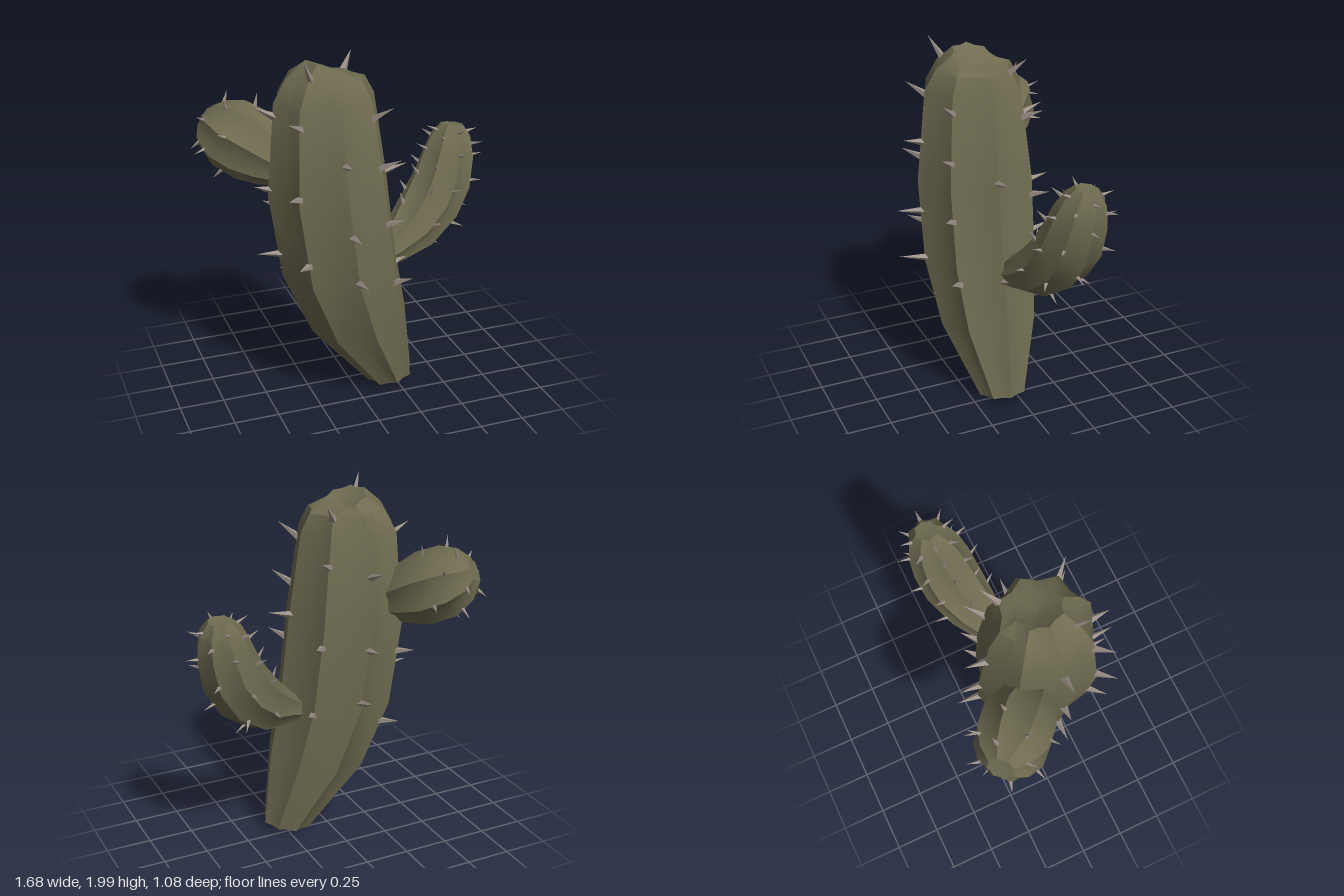
import * as THREE from 'three';
import { toCreasedNormals } from 'three/addons/utils/BufferGeometryUtils.js';

const RIBS = 8, SIDES = RIBS * 2, VALLEY = 0.85;

// Rings are [x, y, z, radius]; each becomes a centre plus a local frame
function makeFrames(rings, ref, stiffAxis) {
  const centres = rings.map(r => new THREE.Vector3(r[0], r[1], r[2]));
  return rings.map((r, i) => {
    const a = centres[Math.max(i - 1, 0)], b = centres[Math.min(i + 1, rings.length - 1)];
    const t = b.clone().sub(a);
    if (i === rings.length - 1) t.copy(a).sub(centres[i - 2]);
    t.normalize();
    if (stiffAxis) t.lerp(stiffAxis, 0.6).normalize();
    const u = ref.clone().addScaledVector(t, -ref.dot(t)).normalize();
    return { c: centres[i], r: r[3], t, u, v: u.clone().cross(t) };
  });
}

// Ribbed body: star-shaped sections joined in loops, closed at both ends
function ribbedBody(frames) {
  const pos = [], index = [];
  for (const f of frames) {
    for (let j = 0; j < SIDES; j++) {
      const a = j / SIDES * Math.PI * 2, r = f.r * (j % 2 ? VALLEY : 1);
      const p = f.c.clone().addScaledVector(f.u, Math.cos(a) * r).addScaledVector(f.v, Math.sin(a) * r);
      pos.push(p.x, p.y, p.z);
    }
  }
  const first = frames[0].c, last = frames[frames.length - 1].c, n = frames.length;
  pos.push(first.x, first.y, first.z, last.x, last.y, last.z);
  const bottom = n * SIDES, top = bottom + 1;
  for (let j = 0; j < SIDES; j++) {
    const k = (j + 1) % SIDES;
    index.push(bottom, j, k);
    for (let i = 0; i < n - 2; i++) {
      const a = i * SIDES, b = a + SIDES;
      index.push(a + j, b + j, b + k, a + j, b + k, a + k);
    }
    index.push((n - 2) * SIDES + j, top, (n - 2) * SIDES + k);
  }
  const g = new THREE.BufferGeometry();
  g.setAttribute('position', new THREE.Float32BufferAttribute(pos, 3));
  g.setIndex(index);
  return toCreasedNormals(g, 0.55);
}

// Spine on a rib; s is a fractional ring number
function makeSpine(frames, s, rib, length, radius, lift, material) {
  const i = Math.min(Math.floor(s), frames.length - 2), k = s - i;
  const f = frames[i], g = frames[i + 1], a = rib / RIBS * Math.PI * 2;
  const out = f.u.clone().multiplyScalar(Math.cos(a)).addScaledVector(f.v, Math.sin(a));
  const p = f.c.clone().lerp(g.c, k).addScaledVector(out, THREE.MathUtils.lerp(f.r, g.r, k));
  const dir = out.addScaledVector(f.t, lift).normalize();
  const geo = new THREE.ConeGeometry(radius, length + 0.02, 4);
  geo.translate(0, length / 2 - 0.01, 0);
  const mesh = new THREE.Mesh(geo.toNonIndexed(), material);
  mesh.geometry.computeVertexNormals();
  mesh.name = 'spine';
  mesh.position.copy(p);
  mesh.quaternion.setFromUnitVectors(new THREE.Vector3(0, 1, 0), dir);
  return mesh;
}

export function createModel() {
  const skin = new THREE.MeshStandardMaterial({ color: 0x6e6b50 });
  skin.name = 'cactusSkin';
  const thorn = new THREE.MeshStandardMaterial({ color: 0x9c9189 });
  thorn.name = 'spineGrey';
  const model = new THREE.Group();
  model.name = 'cactus';

  const addPart = (name, frames) => {
    const part = new THREE.Group();
    part.name = name;
    const body = new THREE.Mesh(ribbedBody(frames), skin);
    body.name = name + 'Body';
    part.add(body);
    model.add(part);
    return part;
  };

  // Leaning trunk
  const trunkRings = [
    [0.23, 0.03, 0.07, 0.135], [0.04, 0.43, 0.075, 0.28], [-0.075, 0.79, 0.075, 0.33],
    [-0.137, 1.25, 0.075, 0.337], [-0.155, 1.75, 0.075, 0.277], [-0.145, 1.86, 0.075, 0.215],
    [-0.135, 1.91, 0.075, 0.13], [-0.13, 1.87, 0.07, 0],
  ];
  const trunkFrames = makeFrames(trunkRings, new THREE.Vector3(1, 0, 0), new THREE.Vector3(0, 1, 0));
  const trunk = addPart('trunk', trunkFrames);
  // Trunk spines: rib, height, length, upward lift (rib 0 is +x, rib 2 faces front)
  const trunkSpines = [
    [2, 1.47, 0.1, 0.2], [2, 1.08, 0.14, 0.15], [2, 0.81, 0.15, 0.2],
    [1, 1.67, 0.13, 0.6], [1, 1.4, 0.13, 0.5], [1, 1.07, 0.1, 0.3], [1, 0.7, 0.11, 0.3],
    [3, 1.67, 0.13, 0.5], [3, 1.3, 0.12, 0.3], [3, 0.93, 0.11, 0.2],
    [4, 1.69, 0.12, 0.6], [4, 1.29, 0.08, 0.35], [4, 0.93, 0.12, 0.2],
    [0, 1.29, 0.13, 0.2], [0, 0.7, 0.06, 0.2],
    [6, 1.55, 0.12, 0.4], [6, 1.15, 0.11, 0.2], [6, 0.85, 0.13, 0.3],
    [5, 1.1, 0.1, 0.2], [5, 0.7, 0.1, 0.2],
    [7, 1.6, 0.12, 0.4], [7, 1.15, 0.1, 0.2], [7, 0.75, 0.08, 0.2],
    [3, 1.88, 0.14, 1.3], [7, 1.85, 0.12, 0.9],
  ];
  for (const [rib, y, length, lift] of trunkSpines) {
    const i = trunkRings.findIndex((r, n) => y >= r[1] && y < trunkRings[n + 1][1]);
    const s = i + (y - trunkRings[i][1]) / (trunkRings[i + 1][1] - trunkRings[i][1]);
    trunk.add(makeSpine(trunkFrames, s, rib, length, 0.023, lift, thorn));
  }

  // Long upturned arm on the left, short stubby arm on the right
  const arms = [
    ['leftArm', [
      [0.16, 0.75, 0.02, 0.07], [0.27, 0.795, -0.005, 0.1], [0.41, 0.865, -0.06, 0.15],
      [0.55, 0.99, -0.115, 0.175], [0.63, 1.12, -0.14, 0.172], [0.675, 1.27, -0.16, 0.15],
      [0.695, 1.375, -0.175, 0.115], [0.7, 1.43, -0.18, 0.065], [0.7, 1.42, -0.18, 0],
    ], [[2.3, 3.6, 5.0, 6.3], [2.9, 4.3, 5.7]]],
    ['rightArm', [
      [-0.32, 1.34, -0.04, 0.11], [-0.4, 1.385, -0.11, 0.165], [-0.48, 1.435, -0.2, 0.205],
      [-0.58, 1.49, -0.29, 0.2], [-0.65, 1.535, -0.355, 0.145], [-0.68, 1.56, -0.39, 0.075],
      [-0.68, 1.555, -0.385, 0],
    ], [[2.6, 4.2], [3.4]]],
  ];
  for (const [name, rings, rows] of arms) {
    const frames = makeFrames(rings, new THREE.Vector3(0, 0, 1));
    const arm = addPart(name, frames);
    // Spines staggered from rib to rib
    for (let rib = 0; rib < RIBS; rib++) {
      for (const s of rows[rib % 2]) {
        arm.add(makeSpine(frames, s, rib, 0.065, 0.014, 0.35, thorn));
      }
    }
  }
  return model;
}
